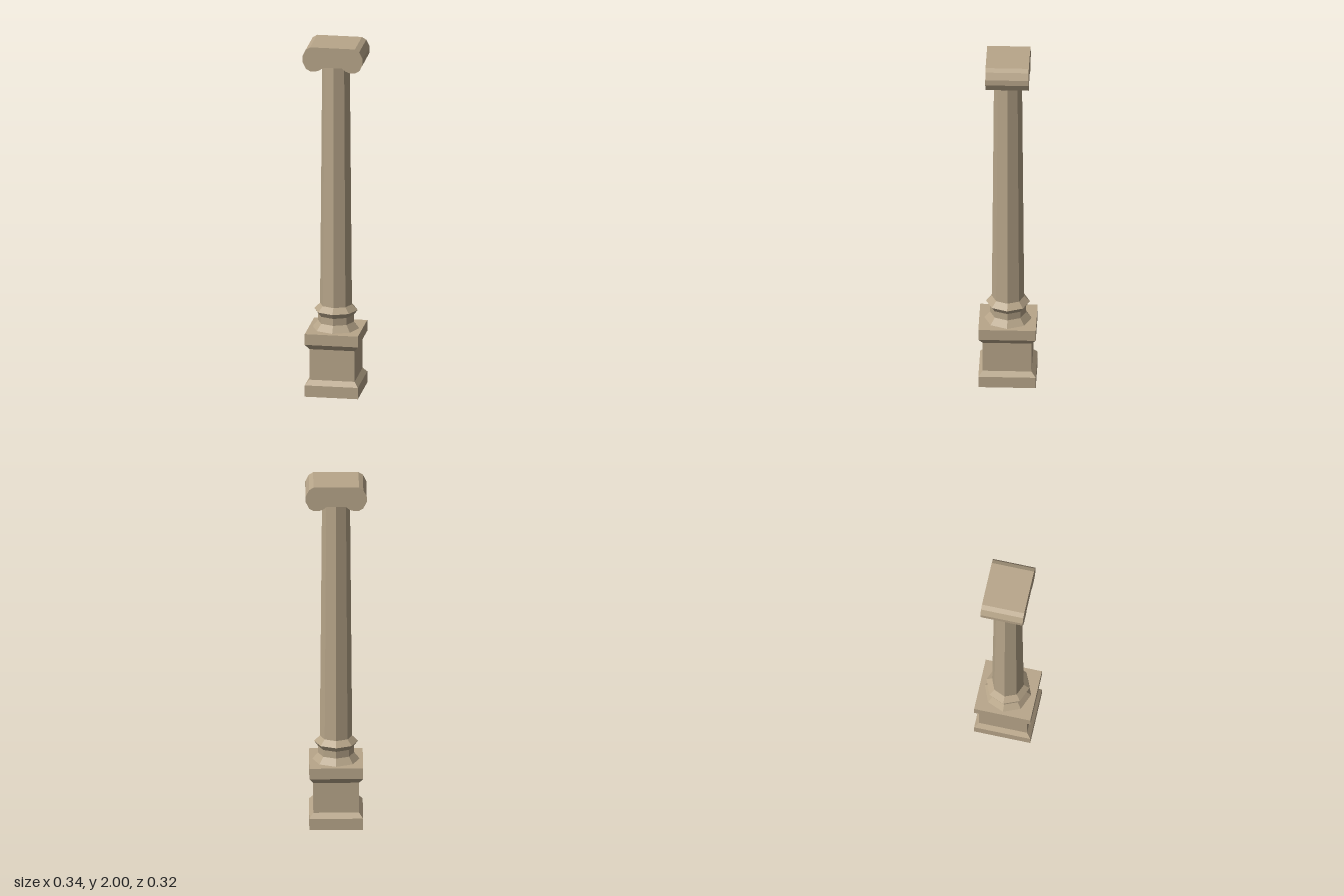
import * as THREE from 'three';

export function createModel() {
  const group = new THREE.Group();
  const stone = new THREE.MeshStandardMaterial({ color: 0xb8a68a, flatShading: true });
  stone.name = 'sandstone';

  function add(name, geometry) {
    const mesh = new THREE.Mesh(geometry, stone);
    mesh.name = name;
    group.add(mesh);
    return mesh;
  }

  // Faceted turning from [radius, height] pairs, bottom to top
  function turned(name, profile, sides, start = 0, scale = 1) {
    const points = profile.map(([r, y]) => new THREE.Vector2(r * scale, y));
    return add(name, new THREE.LatheGeometry(points, sides, start));
  }

  // Square pedestal with plinth and cornice, slightly deeper than wide
  const pedestal = turned('pedestal', [
    [0, 0], [0.148, 0], [0.148, 0.065], [0.126, 0.092],
    [0.126, 0.268], [0.148, 0.298], [0.148, 0.36], [0, 0.36],
  ], 4, Math.PI / 4, Math.SQRT2);
  pedestal.scale.z = 1.068;

  // Octagonal moulding under the shaft
  turned('columnBase', [
    [0.13, 0.36], [0.1, 0.397], [0.1, 0.437], [0.121, 0.465], [0.088, 0.497],
  ], 8);

  // Tapered octagonal shaft
  turned('shaft', [[0.089, 0.495], [0.077, 1.886]], 8);

  // Capital with rolled ends, extruded front to back
  const right = [
    [0.125, 2], [0.149, 1.985], [0.168, 1.947], [0.168, 1.915], [0.149, 1.876],
    [0.125, 1.862], [0.095, 1.862], [0.072, 1.87], [0.052, 1.886],
  ];
  const left = right.map(([x, y]) => [-x, y]).reverse();
  const outline = new THREE.Shape([...right, ...left].map(([x, y]) => new THREE.Vector2(x, y)));
  const capital = new THREE.ExtrudeGeometry(outline, { depth: 0.238, bevelEnabled: false });
  add('capital', capital.translate(0, 0, -0.119));

  return group;
}
